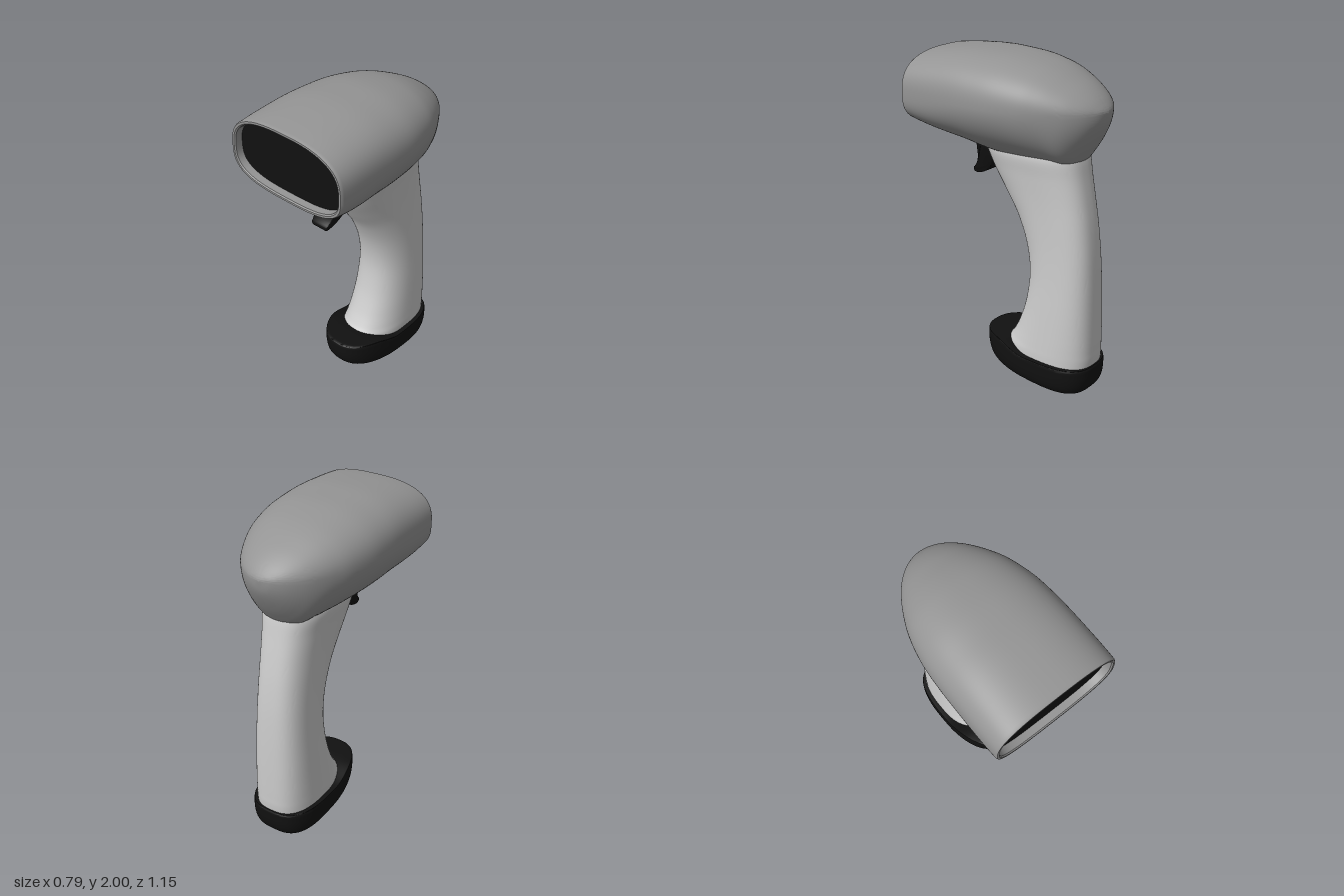
import * as THREE from 'three';
import { toCreasedNormals } from 'three/addons/utils/BufferGeometryUtils.js';

const SEG = 96;
const grey = new THREE.MeshStandardMaterial({ color: 0xcccccc });
const darkGrey = new THREE.MeshStandardMaterial({ color: 0x949494 });
const black = new THREE.MeshStandardMaterial({ color: 0x111111 });

// Superellipse ring: half width w, separate extents and exponents for the + and - halves
function ring(w, plus, minus, nPlus, nMinus, place) {
  return Array.from({ length: SEG }, (_, i) => {
    const a = (i / SEG) * Math.PI * 2, c = Math.cos(a), s = Math.sin(a);
    const n = s >= 0 ? nPlus : nMinus;
    const u = Math.sign(c) * Math.abs(c) ** (2 / n) * w;
    const v = Math.sign(s) * Math.abs(s) ** (2 / n) * (s >= 0 ? plus : minus);
    return place(u, v);
  });
}

// Skin a list of closed rings
function loft(rings, crease = 0.6) {
  const index = [];
  for (let i = 0; i < rings.length - 1; i++) {
    for (let j = 0; j < SEG; j++) {
      const k = (j + 1) % SEG;
      const a = i * SEG + j, b = i * SEG + k, c = a + SEG, d = b + SEG;
      index.push(a, c, b, b, c, d);
    }
  }
  const geo = new THREE.BufferGeometry().setFromPoints(rings.flat());
  geo.setIndex(index);
  return toCreasedNormals(geo, crease);
}

// Smoothly interpolate rows of section values
function refine(rows, steps) {
  const cr = (p0, p1, p2, p3, t) => {
    const m1 = (p2 - p0) / 2, m2 = (p3 - p1) / 2;
    return p1 + t * (m1 + t * (3 * (p2 - p1) - 2 * m1 - m2 + t * (2 * (p1 - p2) + m1 + m2)));
  };
  const at = i => rows[Math.max(0, Math.min(rows.length - 1, i))];
  const out = [];
  for (let i = 0; i < rows.length - 1; i++) {
    for (let k = 0; k < steps; k++) {
      out.push(rows[i].map((_, c) => cr(at(i - 1)[c], at(i)[c], at(i + 1)[c], at(i + 2)[c], k / steps)));
    }
  }
  out.push(at(rows.length));
  return out;
}

function part(name, geometry, material) {
  const mesh = new THREE.Mesh(geometry, material);
  mesh.name = name;
  return mesh;
}

function makeHead() {
  const group = new THREE.Group();
  group.name = 'head';
  const MID = 1.74;
  // z, half width, top, bottom, top exponent, bottom exponent
  const rows = [
    [0.565, 0.392, 1.97, 1.547, 2.7, 3.0],
    [0.45, 0.395, 1.985, 1.51, 2.65, 2.7],
    [0.25, 0.395, 2.0, 1.453, 2.6, 2.1],
    [0.1, 0.392, 1.999, 1.41, 2.5, 1.85],
    [-0.05, 0.379, 1.991, 1.4, 2.4, 1.8],
    [-0.2, 0.345, 1.965, 1.4, 2.3, 1.85],
    [-0.3, 0.305, 1.935, 1.4, 2.2, 1.9],
    [-0.39, 0.256, 1.895, 1.405, 2.1, 2],
    [-0.46, 0.206, 1.857, 1.485, 2, 2],
    [-0.52, 0.142, 1.812, 1.58, 2, 2],
    [-0.56, 0.07, 1.768, 1.665, 2, 2],
    [-0.575, 0, MID, MID, 2, 2],
  ];
  const section = ([z, w, top, bottom, nT, nB]) =>
    ring(w, top - MID, MID - bottom, nT, nB, (x, y) => new THREE.Vector3(x, Math.max(1.44, MID + y), z));
  const inset = (z, d) => {
    const [, w, top, bottom, nT, nB] = rows[0];
    return section([z, w - d, top - d, bottom + d, nT, nB]);
  };
  // Recess wall, rim and outer shell as one skin
  group.add(part('shell', loft([
    inset(0.5, 0.028), inset(0.568, 0.024), inset(0.575, 0.017), inset(0.575, 0.005),
    ...refine(rows, 6).map(section),
  ]), darkGrey));
  // Flat dark window inside the recess
  const centre = ring(0, 0, 0, 2, 2, () => new THREE.Vector3(0, MID, 0.525));
  group.add(part('scanWindow', loft([centre, inset(0.525, 0.022)]), black));
  return group;
}

function makeHandle() {
  // y, front z, back z, half width
  const rows = [
    [0.1, 0.07, -0.525, 0.19],
    [0.22, 0.065, -0.537, 0.19],
    [0.28, 0.025, -0.538, 0.187],
    [0.37, -0.022, -0.538, 0.182],
    [0.52, -0.072, -0.536, 0.174],
    [0.71, -0.098, -0.53, 0.164],
    [0.89, -0.073, -0.519, 0.159],
    [1.06, -0.005, -0.5, 0.16],
    [1.2, 0.085, -0.477, 0.166],
    [1.34, 0.175, -0.45, 0.178],
    [1.45, 0.22, -0.428, 0.19],
    [1.52, 0.2, -0.4, 0.17],
  ];
  const rings = refine(rows, 5).map(([y, front, back, w]) => {
    const mid = (front + back) / 2, half = (front - back) / 2;
    return ring(w, half, half, 2.3, 2.7, (x, z) => new THREE.Vector3(x, y, mid + z));
  });
  return part('handle', loft(rings, 1), grey);
}

function makeBase() {
  // Outline scale and height fraction, from the underside to the top
  const profile = [
    [0, 0], [0.5, 0], [0.72, 0.015], [0.84, 0.07], [0.92, 0.18], [0.97, 0.36],
    [0.995, 0.6], [1, 0.8], [1, 0.92], [0.985, 0.98], [0.95, 1], [0.5, 1], [0, 1],
  ];
  const topAt = z => 0.205 + 0.03 * (z + 0.12) + 0.05 * THREE.MathUtils.smoothstep(z, -0.17, 0.07);
  const bottomAt = z => 0.042 + 0.09 * z;
  const rings = refine(profile, 3).map(([s, t]) =>
    ring(0.22 * s, 0.39 * s, 0.37 * s, 2.4, 3, (x, v) => {
      const z = v - 0.175;
      return new THREE.Vector3(x, THREE.MathUtils.lerp(bottomAt(z), Math.min(0.26, topAt(z)), t), z);
    }));
  return part('base', loft(rings, 0.9), black);
}

function makeTrigger() {
  // Side profile drawn as (z, y), swept across x and narrowed to the tip
  const shape = new THREE.Shape();
  shape.moveTo(0.27, 1.5);
  shape.lineTo(0.27, 1.4);
  shape.bezierCurveTo(0.27, 1.32, 0.3, 1.28, 0.325, 1.26);
  shape.quadraticCurveTo(0.335, 1.24, 0.31, 1.24);
  shape.bezierCurveTo(0.24, 1.25, 0.18, 1.3, 0.175, 1.37);
  shape.quadraticCurveTo(0.175, 1.42, 0.22, 1.44);
  shape.lineTo(0.22, 1.5);
  const geo = new THREE.ExtrudeGeometry(shape, {
    depth: 0.18, bevelThickness: 0.01, bevelSize: 0.008, bevelSegments: 3, curveSegments: 12,
  });
  geo.translate(0, 0, -0.09);
  geo.rotateY(-Math.PI / 2);
  const p = geo.attributes.position;
  for (let i = 0; i < p.count; i++) {
    const t = THREE.MathUtils.clamp((p.getY(i) - 1.23) / 0.21, 0, 1);
    p.setX(i, p.getX(i) * (0.5 + 0.5 * t));
  }
  geo.deleteAttribute('uv');
  return part('trigger', toCreasedNormals(geo, 0.7), black);
}

export function createModel() {
  const model = new THREE.Group();
  model.name = 'handheldScanner';
  model.add(makeHead(), makeHandle(), makeBase(), makeTrigger());
  return model;
}
